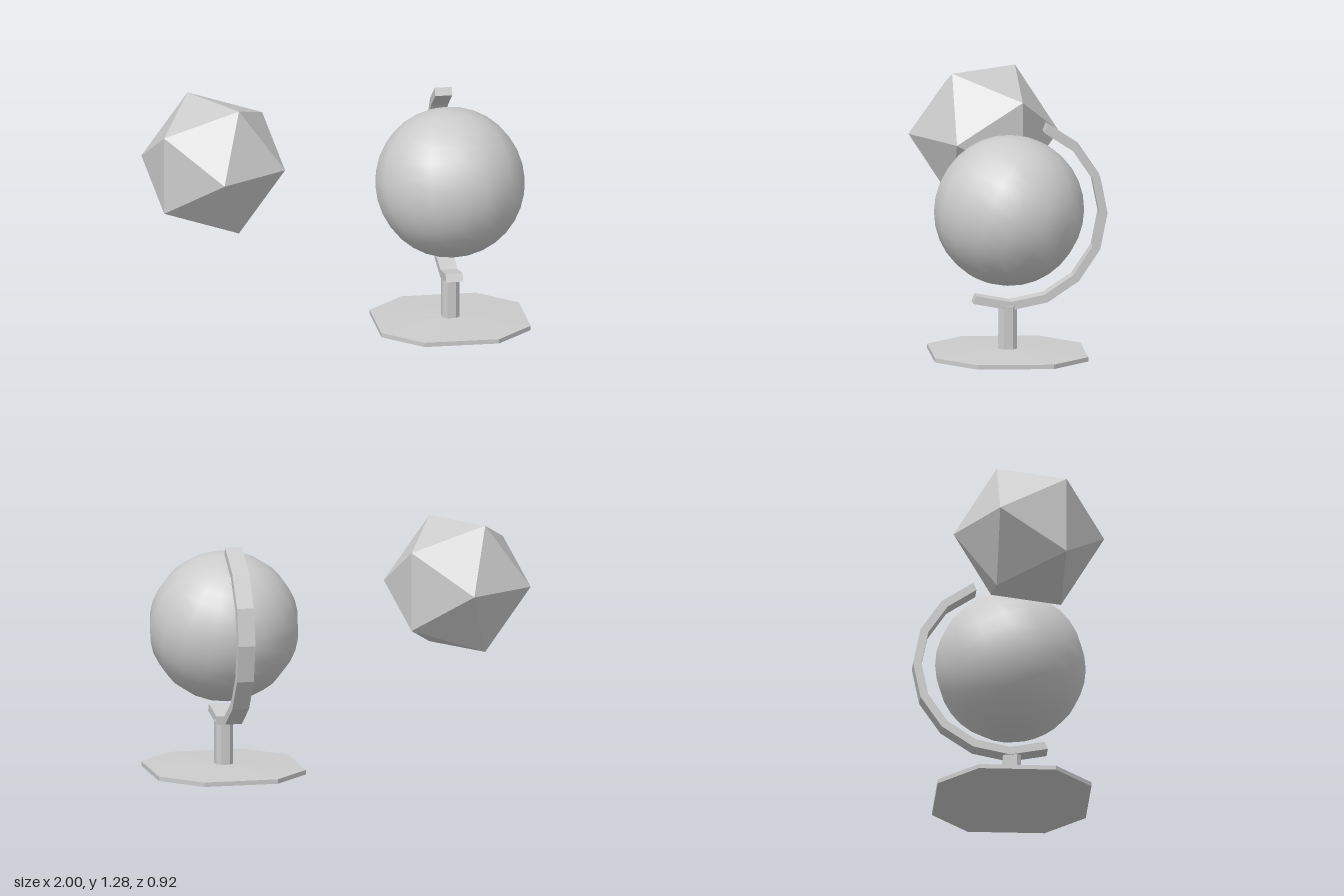
import * as THREE from 'three';

const grey = new THREE.MeshStandardMaterial({ color: 0xcccccc });
const greyFlat = new THREE.MeshStandardMaterial({ color: 0xcccccc, flatShading: true });

function addMesh(group, name, geometry, material, x, y, z) {
  const mesh = new THREE.Mesh(geometry, material);
  mesh.name = name;
  mesh.position.set(x, y, z);
  group.add(mesh);
  return mesh;
}

// Unit eight-sided outline (square with cut corners), anticlockwise from above
const OUTLINE = [[1, 0.5], [1, -0.5], [0.5, -1], [-0.5, -1], [-1, -0.5], [-1, 0.5], [-0.5, 1], [0.5, 1]];

// Closed loft through octagonal rings, from bottom to top
function loftOctagons(rings) {
  const positions = [];
  const point = ({ hx, hz, y, slope = 0 }, i) => {
    const [u, v] = OUTLINE[i % 8];
    return [u * hx, y + slope * v * hz, v * hz];
  };
  const tri = (a, b, c) => positions.push(...a, ...b, ...c);
  const first = rings[0], last = rings[rings.length - 1];
  for (let i = 0; i < 8; i++) {
    for (let r = 0; r < rings.length - 1; r++) {
      const a = point(rings[r], i), b = point(rings[r], i + 1);
      const c = point(rings[r + 1], i + 1), d = point(rings[r + 1], i);
      tri(a, b, c);
      tri(a, c, d);
    }
    tri([0, first.y, 0], point(first, i + 1), point(first, i));
    tri([0, last.y, 0], point(last, i), point(last, i + 1));
  }
  const geometry = new THREE.BufferGeometry();
  geometry.setAttribute('position', new THREE.Float32BufferAttribute(positions, 3));
  geometry.computeVertexNormals();
  return geometry;
}

// Half-ring holder: nine facet corners, 22.5 degrees apart, in the side plane
function meridianGeometry(inner, outer, width) {
  const at = (radius, i) => {
    const angle = THREE.MathUtils.degToRad(112.5 + i * 22.5);
    return new THREE.Vector2(radius * Math.cos(angle), radius * Math.sin(angle));
  };
  const points = [];
  for (let i = 0; i <= 8; i++) points.push(at(outer, i));
  for (let i = 8; i >= 0; i--) points.push(at(inner, i));
  const geometry = new THREE.ExtrudeGeometry(new THREE.Shape(points), { depth: width, bevelEnabled: false });
  geometry.translate(0, 0, -width / 2);
  geometry.rotateY(-Math.PI / 2);
  return geometry;
}

export function createModel() {
  const model = new THREE.Group();
  model.name = 'globeAndIcosahedron';

  const globe = new THREE.Group();
  globe.name = 'deskGlobe';
  model.add(globe);

  // Slightly sloping foot running into the post
  const slope = 0.0137;
  addMesh(globe, 'baseAndPost', loftOctagons([
    { hx: 0.395, hz: 0.403, y: 0.0055, slope },
    { hx: 0.395, hz: 0.403, y: 0.029, slope },
    { hx: 0.045, hz: 0.047, y: 0.042 },
    { hx: 0.045, hz: 0.047, y: 0.262 },
    { hx: 0.045, hz: 0.055, y: 0.272 },
  ]), greyFlat, 0.605, 0, 0.06);

  // Curved arm that carries the ball
  addMesh(globe, 'meridianArm', meridianGeometry(0.467, 0.511, 0.09), greyFlat, 0.6, 0.76, 0.05);

  // Ball, tilted along the arm's axis
  const ball = addMesh(globe, 'ball', new THREE.SphereGeometry(0.395, 16, 16), grey, 0.605, 0.775, 0.053);
  ball.rotation.x = -0.4;

  // Floating icosahedron with one corner pointing forward
  const solid = new THREE.IcosahedronGeometry(0.395, 0);
  solid.rotateX(Math.atan(2 / (1 + Math.sqrt(5))));
  solid.rotateZ(Math.PI / 2);
  addMesh(model, 'icosahedron', solid, greyFlat, -0.648, 0.945, 0.055);

  return model;
}
